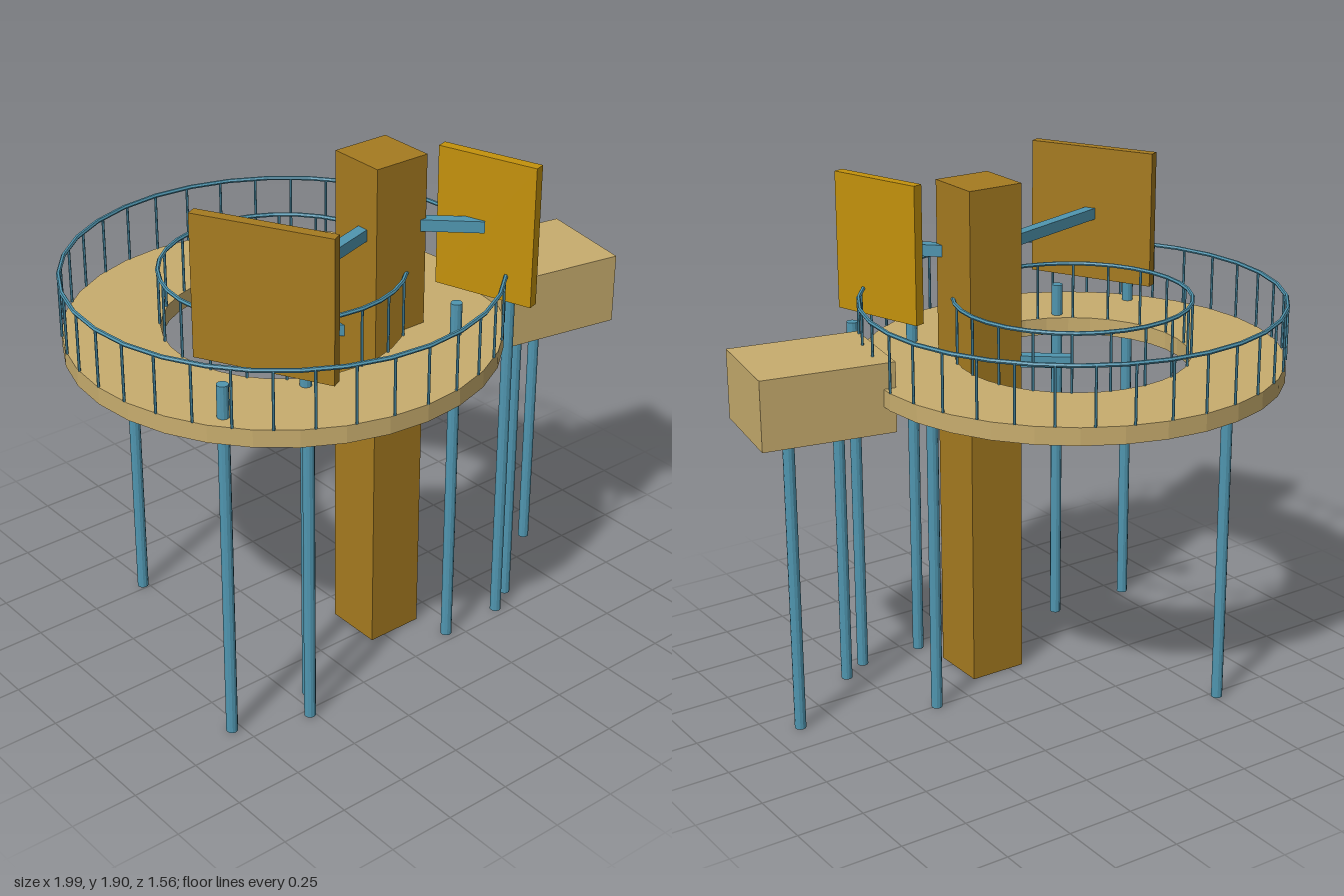
import * as THREE from 'three';

const mat = (name, color, extra = {}) => {
  const m = new THREE.MeshStandardMaterial({ color, ...extra });
  m.name = name;
  return m;
};

export function createModel() {
  const model = new THREE.Group();
  model.name = 'observationTower';
  const tan = mat('tan', 0xc8ad6e, { flatShading: true });
  const blue = mat('steelBlue', 0x5096b0, { flatShading: true });
  const brown = mat('brown', 0xa67b20);
  const gold = mat('gold', 0xc4920c);

  const CX = -0.215; // ring centre
  const OUTER = 0.775, INNER = 0.43, DECK_TOP = 1.265, RAIL_Y = 1.48;

  const add = (name, geo, material, x, y, z, angle = 0, parent = model) => {
    const mesh = new THREE.Mesh(geo, material);
    mesh.name = name;
    mesh.position.set(x, y, z);
    mesh.rotation.y = angle;
    parent.add(mesh);
    return mesh;
  };

  // Ring deck: closed rectangular section turned around the centre
  const section = [[INNER, 1.2], [OUTER, 1.2], [OUTER, DECK_TOP], [INNER, DECK_TOP], [INNER, 1.2]]
    .map(([r, y]) => new THREE.Vector2(r, y));
  add('ringDeck', new THREE.LatheGeometry(section, 32), tan, CX, 0, 0);

  // Railings on both edges of the deck
  const railing = (name, radius, count) => {
    const group = new THREE.Group();
    group.name = name;
    group.position.x = CX;
    model.add(group);
    const ring = new THREE.TorusGeometry(radius, 0.008, 6, 32).rotateX(Math.PI / 2);
    add('handrail', ring, blue, 0, RAIL_Y, 0, 0, group);
    const h = RAIL_Y - DECK_TOP;
    const post = new THREE.CylinderGeometry(0.005, 0.005, h, 6);
    for (let i = 0; i < count; i++) {
      const a = (i / count) * Math.PI * 2;
      add('railPost', post, blue, radius * Math.cos(a), DECK_TOP + h / 2, radius * Math.sin(a), 0, group);
    }
  };
  railing('outerRailing', OUTER - 0.002, 36);
  railing('innerRailing', INNER + 0.003, 20);

  // Central tower
  add('towerColumn', new THREE.BoxGeometry(0.22, 1.9, 0.22), brown, 0.05, 0.95, 0.21);

  // Cabin beside the deck
  add('cabin', new THREE.BoxGeometry(0.493, 0.26, 0.38), tan, 0.72, 1.23, 0.27, -0.174);

  // Upright panels, each running along direction (dx, dz)
  const panel = (name, material, x, z, dx, dz) =>
    add(name, new THREE.BoxGeometry(0.04, 0.515, Math.hypot(dx, dz)), material, x, 1.6425, z, Math.atan2(dx, dz));
  panel('rightPanel', brown, -0.615, 0.425, 0.235, 0.447);
  panel('leftPanel', gold, 0.318, 0.46, 0.115, 0.36);

  // Beams reaching out from the tower
  const beam = (name, x, y, z) => {
    const dx = x - 0.05, dz = z - 0.21;
    add(name, new THREE.BoxGeometry(0.043, 0.043, Math.hypot(dx, dz)), blue,
      0.05 + dx / 2, y, 0.21 + dz / 2, Math.atan2(dx, dz));
  };
  beam('rightPanelBeam', -0.6, 1.643, 0.42);
  beam('leftPanelBeam', 0.31, 1.643, 0.455);
  beam('centreBeam', CX, 1.235, 0);

  // Support columns: [x, z, top]
  const supports = [
    [-0.785, 0.42, 1.385], [-0.445, 0.42, 1.385], [0.19, 0.455, 1.385], [0.442, 0.455, 1.385],
    [0.885, 0.145, 1.11], [0.55, 0.39, 1.11],
  ];
  for (let i = 0; i < 3; i++) {
    const a = (i * Math.PI * 2) / 3;
    supports.push([CX + 0.605 * Math.cos(a), 0.605 * Math.sin(a), 1.21]);
  }
  for (const [x, z, top] of supports) {
    add('supportColumn', new THREE.CylinderGeometry(0.021, 0.021, top, 12), blue, x, top / 2, z);
  }
  return model;
}
